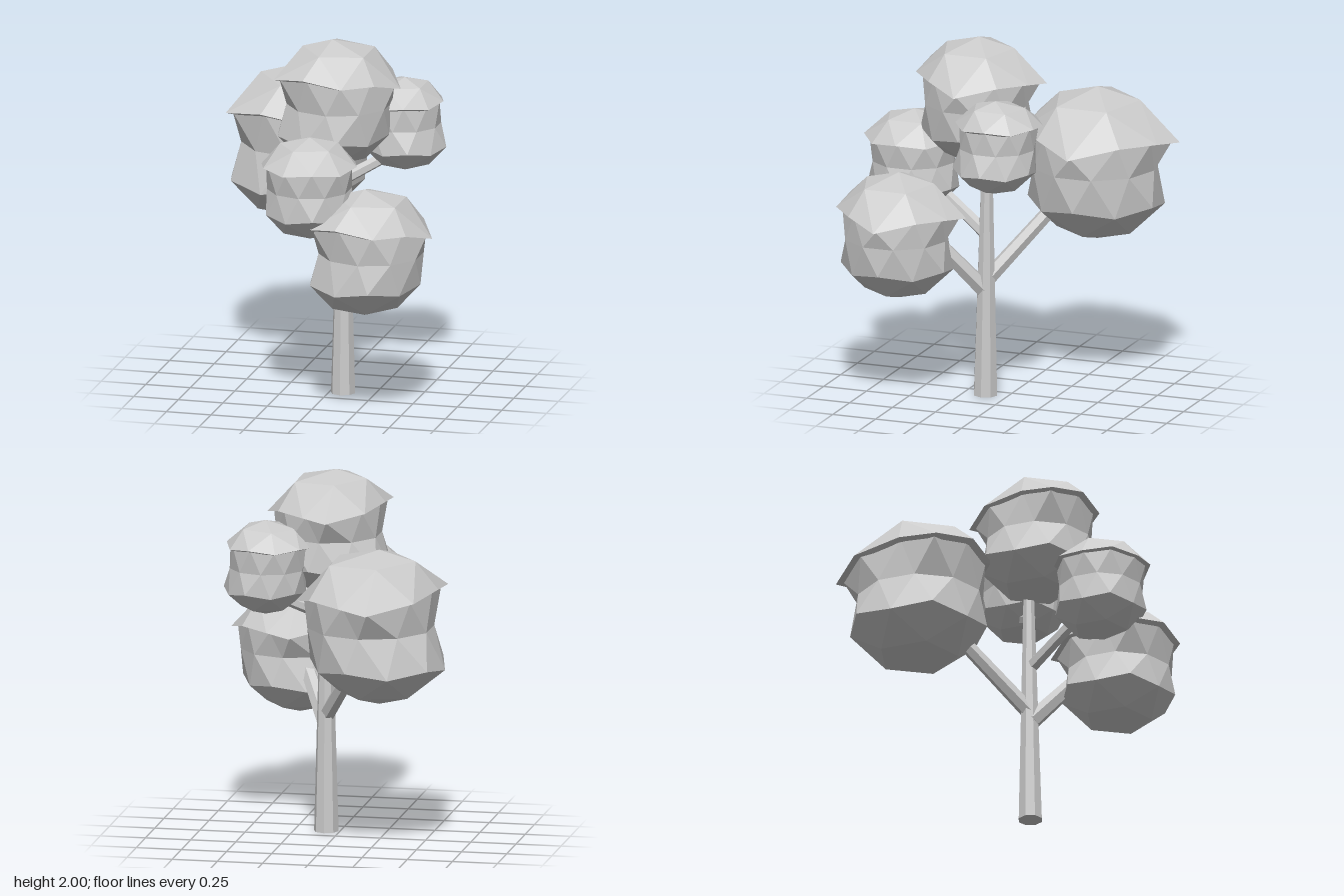
import * as THREE from 'three';

const material = new THREE.MeshStandardMaterial({ color: 0xcccccc, flatShading: true });
const leafMaterial = new THREE.MeshStandardMaterial({ color: 0xcccccc, flatShading: true, side: THREE.DoubleSide });

// Cap rims for a clump of radius 1: ten corners from +x towards +z
const jaggedRim = [
  [1.08, 0.29, 0], [0.8, 0.44, 0.52], [0.37, 0.45, 0.89], [-0.24, 0.55, 0.88], [-0.77, 0.46, 0.6],
  [-0.75, 0.5, 0.07], [-0.57, 0.45, -0.62], [-0.04, 0.36, -1.1], [0.34, 0.41, -0.94], [0.79, 0.43, -0.6]
];
const roundRim = (r, dx, y, dz) => Array.from({ length: 10 }, (_, i) => {
  const a = i * Math.PI / 5;
  return [dx + r * Math.cos(a), y + (i % 2 ? -0.03 : 0.03), dz + r * Math.sin(a)];
});

// Unit icosphere with a vertex at each pole; its rings sit at y = ±0.85, ±0.5 and 0
function icosphere() {
  const geo = new THREE.IcosahedronGeometry(1, 1);
  return geo.rotateZ(Math.atan2(1, (1 + Math.sqrt(5)) / 2));
}

// Keep the triangles whose mid height passes a test, then move each corner by a rule
function reshape(keep, rule) {
  const pos = icosphere().attributes.position;
  const out = [];
  for (let i = 0; i < pos.count; i += 3) {
    const tri = [0, 1, 2].map(k => new THREE.Vector3().fromBufferAttribute(pos, i + k));
    if (!keep((tri[0].y + tri[1].y + tri[2].y) / 3)) continue;
    tri.forEach(v => { rule(v); out.push(v.x, v.y, v.z); });
  }
  const geo = new THREE.BufferGeometry();
  geo.setAttribute('position', new THREE.Float32BufferAttribute(out, 3));
  geo.computeVertexNormals();
  return geo;
}

// Widen a ring about the axis, then shift it sideways
function spread(v, s, dx, dz) {
  v.x = v.x * s + dx;
  v.z = v.z * s + dz;
}

// Leaf clump: pinched round body under an overhanging cap; (dx, dz) leans the middle rings
function leafClump(name, [x, y, z], r, rim, dx, dz) {
  const group = new THREE.Group();
  group.name = name;
  const rimPoint = v => rim[(Math.round(Math.atan2(v.z, v.x) / (Math.PI / 5)) + 10) % 10];

  const body = new THREE.Mesh(reshape(h => h < 0.45, v => {
    if (v.y > 0.3) {
      v.fromArray(rimPoint(v)); // meets the cap just inside its rim
      spread(v, 0.9, 0, 0);
    } else if (v.y > -0.2) {
      spread(v, 0.81, dx, dz);
    }
  }), leafMaterial);
  body.name = 'clumpBody';

  const cap = new THREE.Mesh(reshape(h => h > 0.1, v => {
    if (v.y < 0.3) {
      spread(v, 0.72, dx, dz); // inner edge of the underside
      v.y = 0.42;
    } else if (v.y < 0.7) {
      v.fromArray(rimPoint(v));
    } else if (v.y < 0.99) {
      v.y -= 0.3 * (v.x * dx + v.z * dz);
      spread(v, 1.1, dx, dz);
    }
  }), leafMaterial);
  cap.name = 'clumpCap';

  group.add(body, cap);
  group.position.set(x, y, z);
  group.scale.setScalar(r);
  return group;
}

// Tapered limb between two points
function limb(name, from, to, r0, r1, sides) {
  const a = new THREE.Vector3(...from);
  const b = new THREE.Vector3(...to);
  const dir = b.clone().sub(a);
  const mesh = new THREE.Mesh(new THREE.CylinderGeometry(r1, r0, dir.length(), sides), material);
  mesh.position.copy(a).add(b).multiplyScalar(0.5);
  mesh.quaternion.setFromUnitVectors(new THREE.Vector3(0, 1, 0), dir.normalize());
  mesh.name = name;
  return mesh;
}

export function createModel() {
  const tree = new THREE.Group();
  tree.name = 'tree';

  // Trunk and branches
  tree.add(
    limb('trunk', [0.075, 0, 0.125], [0.075, 1.45, 0.115], 0.068, 0.028, 8),
    limb('backBranch', [0.075, 0.64, 0.125], [-0.22, 1.11, -0.24], 0.045, 0.038, 6),
    limb('frontLeftBranch', [0.075, 0.59, 0.13], [0.27, 0.94, 0.39], 0.05, 0.04, 6),
    limb('frontRightBranch', [0.075, 0.91, 0.125], [0.01, 1.17, 0.48], 0.038, 0.032, 6),
    limb('leftBranch', [0.075, 1.2, 0.12], [0.36, 1.35, -0.05], 0.036, 0.03, 6)
  );

  // Leaf clumps: centre, radius, rim, lean
  tree.add(
    leafClump('topClump', [0.03, 1.645, 0.18], 0.355, jaggedRim, 0.11, 0),
    leafClump('backClump', [-0.32, 1.258, -0.375], 0.428, jaggedRim, 0.11, 0),
    leafClump('frontLeftClump', [0.305, 0.918, 0.54], 0.353, jaggedRim, 0.11, 0),
    leafClump('frontRightClump', [0.005, 1.265, 0.565], 0.285, roundRim(0.94, 0, 0.46, 0.03), 0, 0.02),
    leafClump('leftClump', [0.375, 1.49, -0.05], 0.26, roundRim(0.92, -0.1, 0.49, -0.05), -0.06, -0.03)
  );
  return tree;
}
